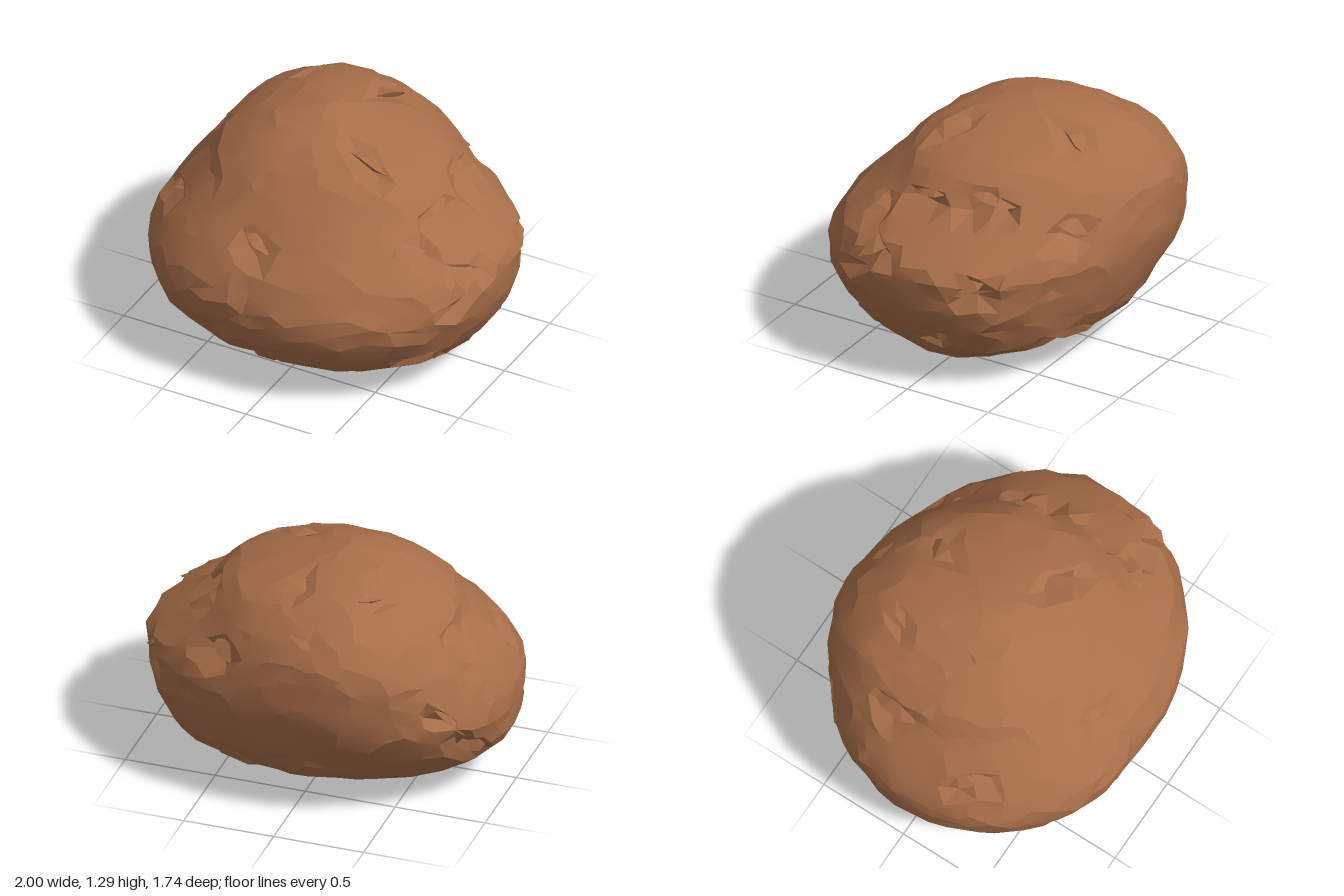
import * as THREE from 'three';
import { mergeVertices, toCreasedNormals } from 'three/addons/utils/BufferGeometryUtils.js';
import { ConvexGeometry } from 'three/addons/geometries/ConvexGeometry.js';

const { clamp, lerp, smoothstep } = THREE.MathUtils;
const HEIGHT = 1.287, CX = -0.1, CZ = -0.1;
const CORE = new THREE.Vector3(CX, 0.6, CZ);

// Boulder extents by height: y, -x, +x, +z, -z
const LEVELS = [
  [0, -0.1, -0.1, -0.1, -0.1],
  [0.05, -0.64, 0.53, 0.47, -0.36],
  [0.11, -0.74, 0.73, 0.6, -0.48],
  [0.2, -0.86, 0.83, 0.73, -0.68],
  [0.3, -0.98, 0.9, 0.82, -0.74],
  [0.45, -1, 0.98, 0.86, -0.81],
  [0.55, -1, 0.99, 0.86, -0.84],
  [0.67, -0.94, 1, 0.79, -0.87],
  [0.75, -0.88, 0.93, 0.74, -0.86],
  [0.85, -0.8, 0.78, 0.63, -0.85],
  [0.95, -0.72, 0.66, 0.54, -0.83],
  [1.03, -0.69, 0.61, 0.47, -0.77],
  [1.1, -0.6, 0.53, 0.4, -0.7],
  [1.17, -0.49, 0.37, 0.3, -0.61],
  [1.22, -0.4, 0.18, 0.2, -0.5],
  [1.26, -0.28, 0.04, 0.08, -0.33],
  [HEIGHT, -0.1, -0.1, -0.1, -0.1],
];

// Fullness of the four corners: low, middle and high on the stone
const CORNERS = {
  frontLeft: [0.06, 0.08, 0.09], frontRight: [0.01, 0.04, 0.01],
  backLeft: [0.02, -0.03, -0.05], backRight: [-0.08, 0.01, 0.11],
};

function seeded(seed) {
  return () => {
    seed = (seed * 16807) % 2147483647;
    return seed / 2147483647;
  };
}

// Point on the boulder at height y and plan angle a
function surface(y, a) {
  const h = clamp(y, 0, HEIGHT);
  let i = 1;
  while (i < LEVELS.length - 1 && LEVELS[i][0] < h) i++;
  const lo = LEVELS[i - 1], hi = LEVELS[i];
  const t = (h - lo[0]) / (hi[0] - lo[0]);
  const e = lo.map((v, k) => lerp(v, hi[k], t));
  const c = Math.cos(a), s = Math.sin(a);
  const [low, mid, high] = CORNERS[(s > 0 ? 'front' : 'back') + (c > 0 ? 'Left' : 'Right')];
  const full = lerp(lerp(low, mid, smoothstep(h, 0.2, 0.6)), high, smoothstep(h, 0.6, 0.95));
  const corner = 1 + 2 * Math.abs(c * s) * full;
  const rx = c > 0 ? e[2] - CX : CX - e[1];
  const rz = s > 0 ? e[3] - CZ : CZ - e[4];
  return new THREE.Vector3(CX + rx * c * corner, h, CZ + rz * s * corner);
}

// Broken ledges: x, y, z, length, roll
const LEDGES = [
  [-0.35, 1.2, -0.4, 0.22, 0.2], [0.13, 1.19, -0.45, 0.22, 1.2], [0.15, 1.17, 0.1, 0.26, 1.2],
  [0.6, 0.99, -0.3, 0.34, 0.2], [0.6, 0.97, 0.1, 0.3, -0.2], [0.5, 0.85, 0.4, 0.26, 0.1],
  [-0.15, 0.83, 0.6, 0.2, 0.5], [-0.55, 0.19, 0.6, 0.26, 0.2], [-0.05, 0.17, 0.6, 0.24, 0.8],
  [0.75, 0.25, 0.4, 0.3, 1], [0.8, 0.7, 0.3, 0.3, -0.5], [0.8, 0.64, -0.4, 0.34, -0.4],
  [0.9, 0.32, -0.1, 0.42, 0.25], [0.4, 0.86, -0.7, 0.24, 0.5], [-0.7, 0.93, -0.2, 0.3, 0.1],
  [-0.8, 0.35, -0.4, 0.3, 0.3], [-0.8, 0.75, 0.25, 0.24, -0.5], [0.2, 0.22, -0.7, 0.36, 0.1],
  [-0.65, 0.6, -0.5, 0.36, 1.1],
].map(([x, y, z, length, roll]) => {
  const a = Math.atan2(z - CZ, x - CX), p = surface(y, a);
  const r = Math.hypot(p.x - CX, p.z - CZ);
  const along = surface(y, a + 0.05).sub(surface(y, a - 0.05));
  const up = surface(y + 0.04, a).sub(surface(y - 0.04, a)).normalize();
  const n = up.clone().cross(along).normalize();
  // u runs along the broken edge, v up the stone, w out of it
  return (u, v, w) => {
    const s = u * Math.cos(roll) - v * Math.sin(roll), t = u * Math.sin(roll) + v * Math.cos(roll);
    return surface(y + t * length * up.y, a + (s * length) / r).addScaledVector(n, w);
  };
});

// Main stone: a sphere reshaped to the level extents, with irregular facets
function boulderGeometry() {
  const rand = seeded(4711);
  let geo = new THREE.IcosahedronGeometry(1, 8);
  geo.deleteAttribute('normal');
  geo.deleteAttribute('uv');
  geo = mergeVertices(geo, 1e-3);
  const pos = geo.attributes.position, d = new THREE.Vector3(), near = new THREE.Vector3();
  // hollows run below each broken edge
  const cracks = LEDGES.map((at) => new THREE.Line3(at(-0.35, -0.1, 0), at(0.35, -0.1, 0)));
  for (let i = 0; i < pos.count; i++) {
    d.fromBufferAttribute(pos, i);
    d.x += (rand() - 0.5) * 0.08;
    d.y += (rand() - 0.5) * 0.08;
    d.z += (rand() - 0.5) * 0.08;
    d.normalize();
    const p = surface((HEIGHT / 2) * (1 + d.y), Math.atan2(d.z, d.x));
    const inCrack = cracks.some((c) => c.closestPointToPoint(p, true, near).distanceTo(p) < 0.045);
    p.sub(CORE).multiplyScalar(0.993 + rand() * 0.022 - (inCrack ? 0.05 : 0)).add(CORE);
    pos.setXYZ(i, clamp(p.x, -1, 1), clamp(p.y, 0, HEIGHT), clamp(p.z, -0.868, 0.868));
  }
  return toCreasedNormals(geo, 0.26);
}

// A flake whose front edge overhangs a hollow and whose back sinks into the stone
const ledgeGeometry = (at) => new ConvexGeometry([
  at(-0.5, 0.08, -0.02), at(0.5, 0.05, -0.02), at(-0.15, -0.04, 0.012), at(0.22, -0.02, 0.01),
  at(0.1, 0.5, -0.015), at(0, 0.1, -0.07),
]);

export function createModel() {
  const group = new THREE.Group();
  group.name = 'rock';
  const stone = new THREE.MeshStandardMaterial({ color: 0xa86e49 });
  stone.name = 'brown stone';

  const boulder = new THREE.Mesh(boulderGeometry(), stone);
  boulder.name = 'boulder';
  group.add(boulder);

  const ledges = new THREE.Group();
  ledges.name = 'brokenLedges';
  for (const at of LEDGES) {
    const ledge = new THREE.Mesh(ledgeGeometry(at), stone);
    ledge.name = 'ledge';
    ledges.add(ledge);
  }
  group.add(ledges);
  return group;
}
